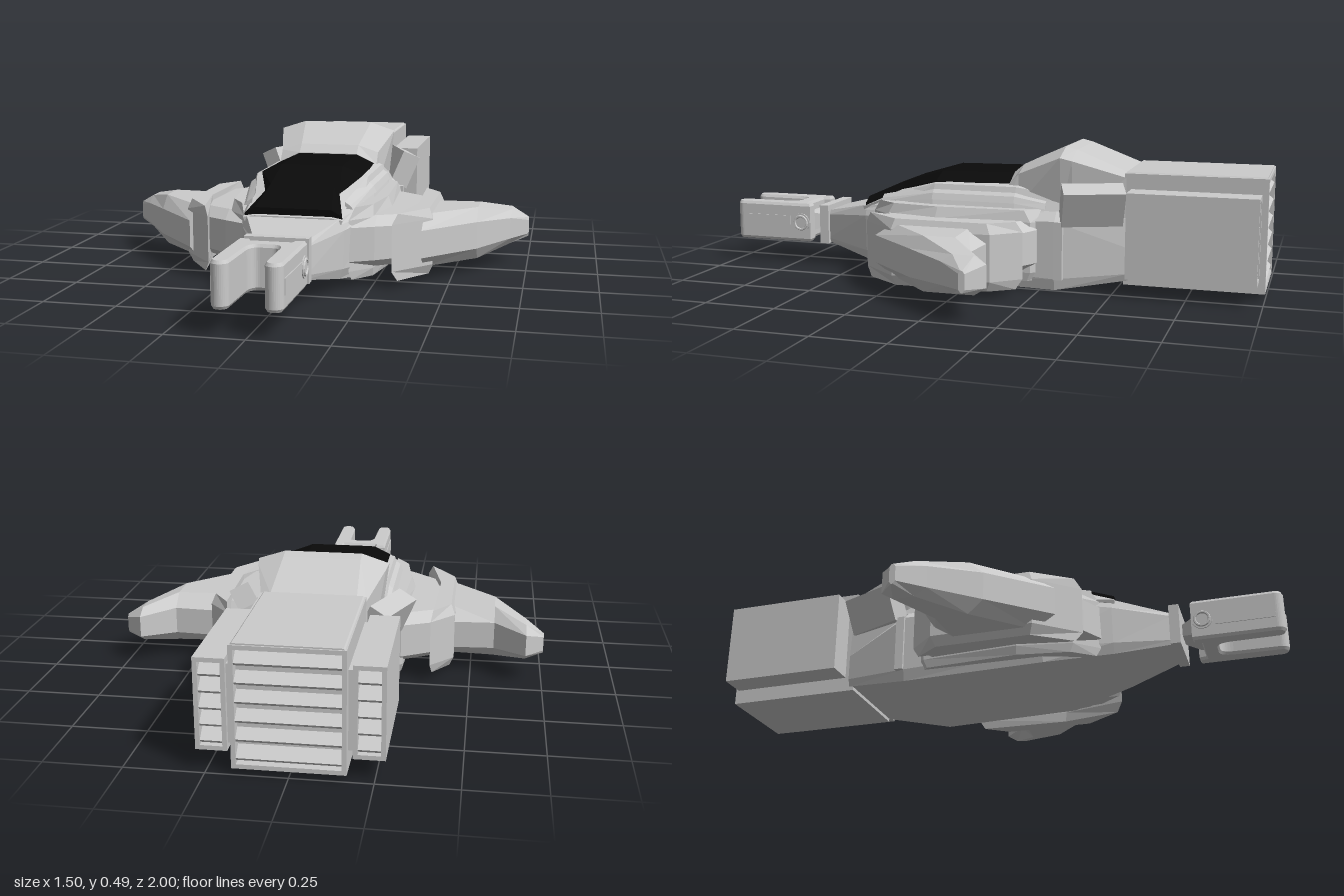
import * as THREE from 'three';

const grey = new THREE.MeshStandardMaterial({ color: 0xcccccc, flatShading: true });
const black = new THREE.MeshStandardMaterial({ color: 0x0a0a0a, flatShading: true });

// Skin a list of equal-length rings of [x, y, z] points and cap both ends.
function loft(rings) {
  const tris = [];
  const n = rings[0].length;
  for (let r = 0; r < rings.length - 1; r++) {
    const a = rings[r], b = rings[r + 1];
    for (let i = 0; i < n; i++) {
      const j = (i + 1) % n;
      tris.push([a[i], b[i], b[j]], [a[i], b[j], a[j]]);
    }
  }
  const first = rings[0], last = rings[rings.length - 1];
  for (let i = 1; i < n - 1; i++) {
    tris.push([first[0], first[i], first[i + 1]], [last[0], last[i + 1], last[i]]);
  }
  // Turn the faces outward whatever the ring direction
  const v = (p) => new THREE.Vector3(...p);
  let volume = 0;
  for (const [a, b, c] of tris) volume += v(a).dot(v(b).cross(v(c)));
  if (volume < 0) tris.forEach((t) => t.reverse());
  const geo = new THREE.BufferGeometry();
  geo.setAttribute('position', new THREE.Float32BufferAttribute(tris.flat(2), 3));
  geo.computeVertexNormals();
  return geo;
}

// Symmetric ring at depth z from its right half, bottom to top.
const section = (z, half) => [
  ...half.map(([x, y]) => [x, y, z]),
  ...half.slice().reverse().map(([x, y]) => [-x, y, z]),
];

// Wing rib at x with chamfered leading and trailing edges.
function rib(x, front, rear, y0, y1, chamferZ, chamferY) {
  const cz = Math.min(chamferZ, (front - rear) / 3);
  return [
    [x, y0 + chamferY, front], [x, y1 - chamferY, front],
    [x, y1, front - cz], [x, y1, rear + cz],
    [x, y1 - chamferY, rear], [x, y0 + chamferY, rear],
    [x, y0, rear + cz], [x, y0, front - cz],
  ];
}

// Stack a plan outline [x, z] at levels [y, shrink].
function stack(plan, levels) {
  const cx = plan.reduce((s, p) => s + p[0], 0) / plan.length;
  const cz = plan.reduce((s, p) => s + p[1], 0) / plan.length;
  return loft(levels.map(([y, k]) =>
    plan.map(([x, z]) => [cx + (x - cx) * k, y, cz + (z - cz) * (1 - (1 - k) * 0.3)])));
}

export function createModel() {
  const model = new THREE.Group();
  const add = (name, geo, parent = model, mat = grey) => {
    const mesh = new THREE.Mesh(geo, mat);
    mesh.name = name;
    parent.add(mesh);
    return mesh;
  };
  const box = (name, w, h, d, x, y, z, parent = model) => {
    const mesh = add(name, new THREE.BoxGeometry(w, h, d), parent);
    mesh.position.set(x, y, z);
    return mesh;
  };

  // Hull and cabin
  add('hull', loft([
    section(0.62, [[0.085, 0.085], [0.09, 0.1], [0.09, 0.19], [0.08, 0.205]]),
    section(0.43, [[0.155, 0.045], [0.17, 0.08], [0.175, 0.21], [0.16, 0.248]]),
    section(0.2, [[0.235, 0.01], [0.245, 0.06], [0.245, 0.23], [0.22, 0.265]]),
    section(-0.3, [[0.24, 0], [0.25, 0.04], [0.25, 0.24], [0.22, 0.27]]),
    section(-0.54, [[0.17, 0.035], [0.18, 0.06], [0.18, 0.15], [0.17, 0.25]]),
  ]));
  add('cabin', loft([
    section(0.44, [[0.165, 0.23], [0.17, 0.243], [0.13, 0.25]]),
    section(0.3, [[0.21, 0.24], [0.165, 0.3], [0.12, 0.31]]),
    section(0.15, [[0.235, 0.25], [0.2, 0.345], [0.11, 0.36]]),
    section(-0.15, [[0.235, 0.25], [0.2, 0.345], [0.11, 0.375]]),
    section(-0.32, [[0.22, 0.25], [0.19, 0.32], [0.11, 0.36]]),
  ]));
  add('canopy', loft([
    section(0.432, [[0.168, 0.244], [0.165, 0.256], [0.13, 0.276]]),
    section(0.3, [[0.13, 0.295], [0.13, 0.31], [0.11, 0.335]]),
    section(0.15, [[0.182, 0.325], [0.182, 0.352], [0.11, 0.38]]),
    section(-0.13, [[0.182, 0.325], [0.182, 0.35], [0.11, 0.384]]),
  ]), model, black);
  add('cowl', loft([
    section(-0.12, [[0.19, 0.3], [0.185, 0.35], [0.11, 0.386]]),
    section(-0.155, [[0.19, 0.28], [0.185, 0.39], [0.11, 0.415]]),
    section(-0.31, [[0.195, 0.25], [0.222, 0.455], [0.13, 0.485]]),
    section(-0.35, [[0.195, 0.25], [0.215, 0.445], [0.13, 0.475]]),
    section(-0.53, [[0.17, 0.12], [0.17, 0.39], [0.14, 0.405]]),
  ]));

  // Vented thruster block: solid core, rear rim and sloped slats
  const thruster = (name, x, y, w, h, front, rear, count) => {
    const g = new THREE.Group();
    g.name = name;
    model.add(g);
    const rim = 0.014, deep = 0.04;
    box('thrusterCore', w, h, front - rear - deep, x, y, (front + rear + deep) / 2, g);
    for (const s of [-1, 1]) {
      box('rimSide', rim, h, deep, x + s * (w - rim) / 2, y, rear + deep / 2, g);
      box('rimEdge', w, rim, deep, x, y + s * (h - rim) / 2, rear + deep / 2, g);
    }
    const step = (h - 2 * rim) / count;
    for (let i = 0; i < count; i++) {
      const slat = box('slat', w - 2 * rim, 0.012, 0.05, x, y - h / 2 + rim + (i + 0.5) * step, rear + 0.026, g);
      slat.rotation.x = -0.7;
    }
  };
  thruster('mainThruster', 0, 0.213, 0.34, 0.385, -0.525, -1, 6);
  for (const s of [-1, 1]) thruster('sideThruster', s * 0.233, 0.21, 0.096, 0.29, -0.55, -0.98, 5);
  box('thrusterMount', 0.39, 0.25, 0.4, 0, 0.21, -0.765);
  add('thrusterTop', loft([
    section(-0.53, [[0.17, 0.4], [0.16, 0.41]]),
    section(-0.995, [[0.17, 0.4], [0.16, 0.41]]),
  ]));

  // Wings and flank parts, built on +x and mirrored
  for (const s of [1, -1]) {
    const side = new THREE.Group();
    side.name = s > 0 ? 'leftWing' : 'rightWing';
    model.add(side);
    const flip = (rings) => loft(rings.map((r) => r.map(([x, y, z]) => [s * x, y, z])));
    const flipPlan = (plan, levels) => stack(plan.map(([x, z]) => [s * x, z]), levels);
    add('wingRoot', flip([
      rib(0.17, 0.4, -0.24, 0.065, 0.24, 0.05, 0.03),
      rib(0.26, 0.35, -0.24, 0.065, 0.24, 0.05, 0.03),
      rib(0.38, 0.26, -0.17, 0.065, 0.235, 0.05, 0.03),
    ]), side);
    add('wingFairing', flipPlan(
      [[0.18, 0.39], [0.25, 0.31], [0.285, 0.12], [0.265, -0.22], [0.18, -0.3]],
      [[0.03, 0.85], [0.06, 1], [0.235, 1], [0.275, 0.7]]), side);
    add('wingCollar', flipPlan(
      [[0.375, 0.13], [0.36, -0.22], [0.44, -0.13], [0.44, 0.22], [0.32, 0.36]],
      [[0.025, 0.75], [0.06, 1], [0.22, 1], [0.255, 0.75]]), side);
    add('wingTip', flip([
      rib(0.41, 0.29, -0.12, 0.05, 0.235, 0.07, 0.045),
      rib(0.58, 0.1, -0.11, 0.05, 0.235, 0.05, 0.045),
      rib(0.69, -0.05, -0.2, 0.08, 0.205, 0.04, 0.025),
      rib(0.752, -0.13, -0.15, 0.1, 0.17, 0.01, 0.01),
    ]), side);

    // Raised rail with a long side pane beside the canopy
    const rail = (z, x, y, w, h) => [
      [x + w, y - h, z], [x + w - 0.01, y, z], [x - w, y + h, z], [x - w, y - h, z],
    ];
    add('cabinRail', flip([
      rail(0.36, 0.175, 0.28, 0.014, 0.012), rail(0.15, 0.212, 0.315, 0.02, 0.022),
      rail(-0.15, 0.212, 0.315, 0.02, 0.022), rail(-0.26, 0.205, 0.295, 0.02, 0.018),
    ]), side);

    // Splayed plate behind the cabin
    const strake = box('strake', 0.07, 0.13, 0.21, s * 0.225, 0.3, -0.425, side);
    strake.rotation.set(0, s * 0.38, s * -0.42);
    box('flankBrace', 0.03, 0.2, 0.03, s * 0.245, 0.14, -0.315, side);
  }

  // Nose plate, neck and pivot
  box('nosePlate', 0.21, 0.145, 0.035, 0, 0.153, 0.632);
  add('neck', loft([
    section(0.73, [[0.075, 0.115], [0.075, 0.195]]),
    section(0.7, [[0.07, 0.12], [0.07, 0.19]]),
    section(0.645, [[0.035, 0.135], [0.035, 0.175]]),
  ]));
  const pivot = add('pivot', new THREE.CylinderGeometry(0.036, 0.036, 0.226, 16).rotateZ(Math.PI / 2));
  pivot.position.set(0, 0.155, 0.727);
  for (const s of [-1, 1]) {
    const ring = add('pivotRing', new THREE.TorusGeometry(0.025, 0.005, 6, 16).rotateY(Math.PI / 2));
    ring.position.set(s * 0.113, 0.155, 0.727);
  }

  // Two-pronged claw, drawn in plan and extruded in height
  const plan = new THREE.Shape();
  plan.moveTo(-0.103, 0.695);
  plan.lineTo(-0.075, 0.695);
  plan.lineTo(-0.07, 0.72);
  plan.lineTo(0.07, 0.72);
  plan.lineTo(0.075, 0.695);
  plan.lineTo(0.103, 0.695);
  plan.lineTo(0.103, 0.97);
  plan.absarc(0.081, 0.972, 0.022, 0, Math.PI, false);
  plan.lineTo(0.056, 0.81);
  plan.quadraticCurveTo(0.052, 0.762, 0.02, 0.762);
  plan.lineTo(-0.02, 0.762);
  plan.quadraticCurveTo(-0.052, 0.762, -0.056, 0.81);
  plan.lineTo(-0.059, 0.972);
  plan.absarc(-0.081, 0.972, 0.022, 0, Math.PI, false);
  plan.closePath();
  const claw = new THREE.ExtrudeGeometry(plan, {
    depth: 0.125, bevelEnabled: true, bevelThickness: 0.01, bevelSize: 0.006, bevelSegments: 1, curveSegments: 8,
  }).rotateX(Math.PI / 2).translate(0, 0.218, 0);
  add('claw', claw);
  for (const s of [-1, 1]) box('clawPanel', 0.006, 0.05, 0.2, s * 0.109, 0.155, 0.87);

  return model;
}
